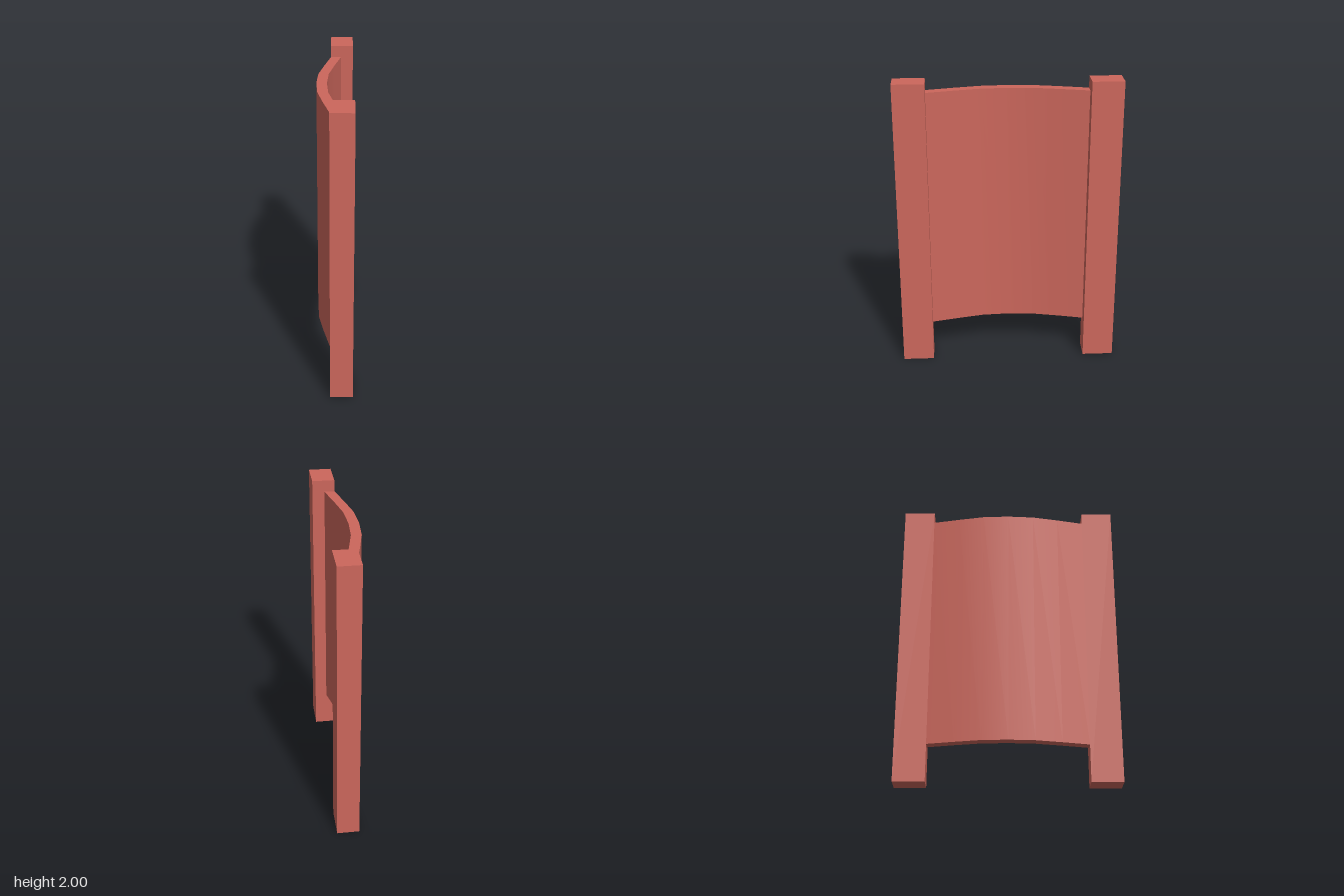
import * as THREE from 'three';
import { toCreasedNormals } from 'three/addons/utils/BufferGeometryUtils.js';

export function createModel() {
  const group = new THREE.Group();
  const red = new THREE.MeshStandardMaterial({ color: 0xcc675c });
  red.name = 'terracotta red';

  // Two square-edged uprights, mirrored front to back
  for (const side of [1, -1]) {
    const post = new THREE.Mesh(new THREE.BoxGeometry(0.15, 2, 0.21), red);
    post.name = side > 0 ? 'frontPost' : 'rearPost';
    post.position.set(0.045, 1, side * 0.635);
    group.add(post);
  }

  // Curved panel between the posts: [z, x] of its convex face, then the offset concave face
  const bow = [[-0.53, -0.03], [-0.35, -0.073], [-0.175, -0.11], [0, -0.12],
    [0.175, -0.11], [0.35, -0.073], [0.53, -0.03]];
  const thickness = 0.068;
  const outline = [
    ...bow.map(([z, x]) => new THREE.Vector2(x, z)),
    ...bow.map(([z, x]) => new THREE.Vector2(x + thickness, z)).reverse(),
  ];
  const bottom = 0.25, top = 1.92;
  const geometry = new THREE.ExtrudeGeometry(new THREE.Shape(outline), {
    depth: top - bottom, bevelEnabled: false,
  });
  geometry.rotateX(-Math.PI / 2);
  const panel = new THREE.Mesh(toCreasedNormals(geometry, 0.6), red);
  panel.name = 'curvedPanel';
  panel.position.y = bottom;
  group.add(panel);

  return group;
}
